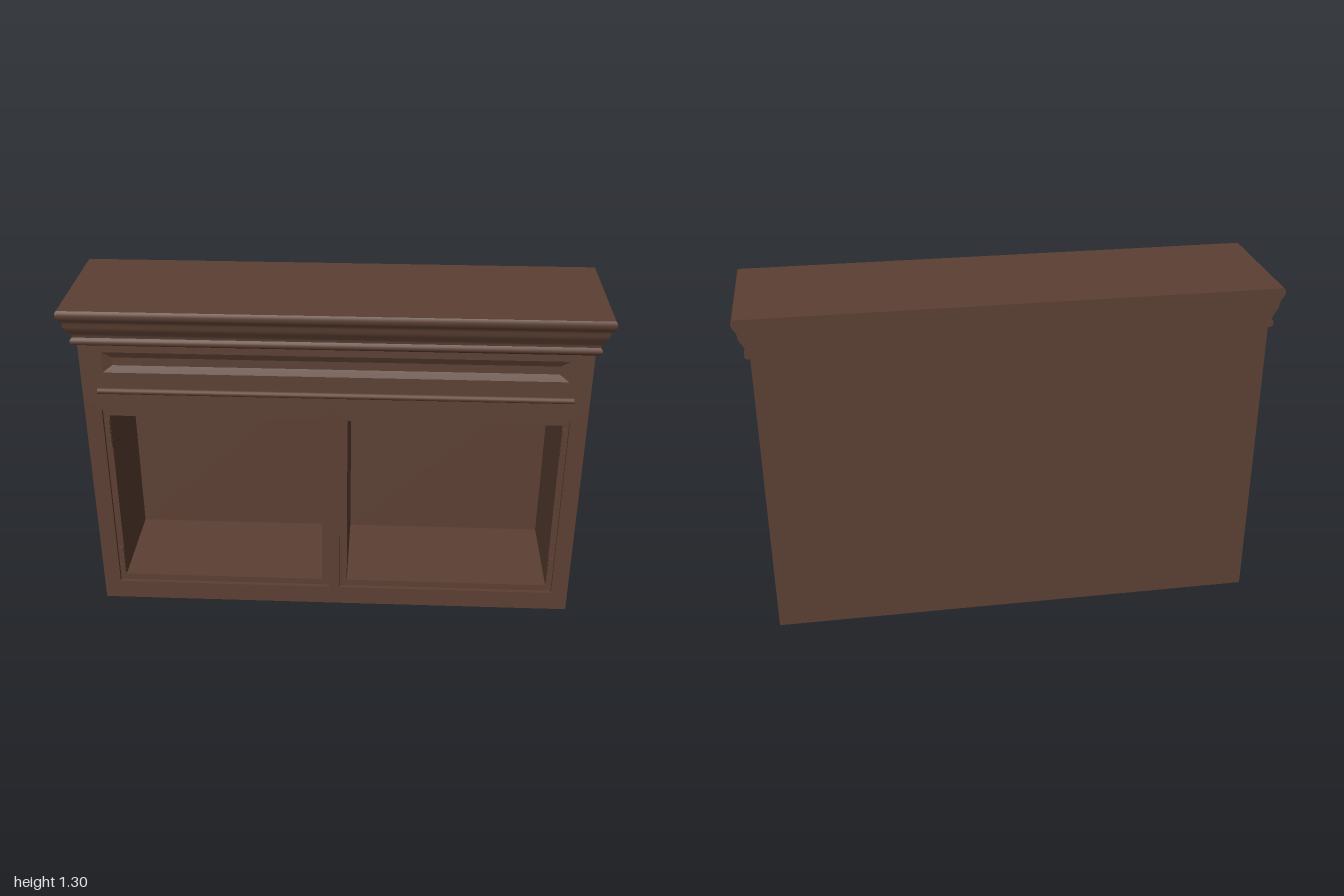
import * as THREE from 'three';
import { toCreasedNormals } from 'three/addons/utils/BufferGeometryUtils.js';

// Lofts rectangles [u0, u1, v0, v1, w] from first to last and caps the last one.
function loft(rings, crease = 0.3) {
  const pos = [];
  const corners = ([u0, u1, v0, v1, w]) => [[u0, v0, w], [u1, v0, w], [u1, v1, w], [u0, v1, w]];
  const quad = (a, b, c, d) => pos.push(...a, ...b, ...c, ...a, ...c, ...d);
  for (let r = 0; r < rings.length - 1; r++) {
    const a = corners(rings[r]), b = corners(rings[r + 1]);
    for (let i = 0; i < 4; i++) {
      const j = (i + 1) % 4;
      quad(a[i], a[j], b[j], b[i]);
    }
  }
  quad(...corners(rings[rings.length - 1]));
  const g = new THREE.BufferGeometry();
  g.setAttribute('position', new THREE.Float32BufferAttribute(pos, 3));
  return toCreasedNormals(g, crease);
}

export function createModel() {
  const group = new THREE.Group();
  const wood = new THREE.MeshStandardMaterial({ color: 0x5c4033 });
  wood.name = 'darkWood';

  const W = 0.945, H = 1.15, F = 0.21, B = -0.265;
  const add = (name, geometry) => {
    const mesh = new THREE.Mesh(geometry, wood);
    mesh.name = name;
    group.add(mesh);
    return mesh;
  };

  // Front face: two stepped door openings that run back into deep compartments
  const split = 0.93;
  for (const s of [-1, 1]) {
    const side = s < 0 ? 'right' : 'left';
    const ring = (a, b, y0, y1, z) => [Math.min(s * a, s * b), Math.max(s * a, s * b), y0, y1, z];
    add(side + 'Compartment', loft([
      ring(0, W, 0, split, F),
      ring(0.022, 0.88, 0.08, 0.878, F),
      ring(0.022, 0.88, 0.08, 0.878, F - 0.015),
      ring(0.05, 0.856, 0.107, 0.846, F - 0.015),
      ring(0.05, 0.856, 0.107, 0.846, -0.21),
    ], 0.1));

    // Hinge plates on the outer jamb
    for (const y of [0.18, 0.77]) {
      add(side + 'Hinge', new THREE.BoxGeometry(0.018, 0.12, 0.012))
        .position.set(s * 0.866, y, F - 0.012);
    }

    // Side wall with a long bevelled panel
    const flip = ([z0, z1, y0, y1, w]) => (s > 0 ? [-z1, -z0, y0, y1, w] : [z0, z1, y0, y1, w]);
    add(side + 'SidePanel', loft([
      [B, F, 0, H, W],
      [-0.125, 0.075, 0.13, 0.845, W],
      [-0.12, 0.07, 0.135, 0.84, W - 0.006],
      [-0.1, 0.05, 0.155, 0.815, W - 0.014],
    ].map(flip), 0.1)).rotation.y = s * Math.PI / 2;
  }

  // Frieze board with a shallow sunk panel
  add('friezePanel', loft([
    [-W, W, split, H, F],
    [-0.86, 0.86, 1.035, 1.118, F],
    [-0.85, 0.85, 1.043, 1.11, F - 0.004],
    [-0.825, 0.825, 1.06, 1.092, F - 0.013],
  ], 0.1));

  // Round bead across the front
  const bead = add('frontBead', new THREE.CylinderGeometry(0.012, 0.012, 1.77, 14));
  bead.rotation.z = Math.PI / 2;
  bead.position.set(0, 0.962, F + 0.006);

  // Plain back and underside
  const back = add('backPanel', new THREE.PlaneGeometry(2 * W, H));
  back.rotation.y = Math.PI;
  back.position.set(0, H / 2, B);
  const base = add('basePanel', new THREE.PlaneGeometry(2 * W, F - B));
  base.rotation.x = Math.PI / 2;
  base.position.set(0, 0, (F + B) / 2);

  // Crown moulding: [projection, height], mitred around front and sides, flush at the back
  const profile = [
    [0, 1.15], [0.012, 1.151], [0.019, 1.157], [0.021, 1.165], [0.019, 1.174], [0.012, 1.181],
    [0.012, 1.187], [0.017, 1.196], [0.023, 1.207], [0.031, 1.219], [0.036, 1.232], [0.037, 1.245],
    [0.04, 1.254], [0.047, 1.263], [0.053, 1.273], [0.055, 1.284], [0.053, 1.294], [0.048, 1.3],
  ];
  add('crownMoulding', loft(
    profile.map(([d, y]) => [-W - d, W + d, -F - d, -B, y]), 0.75,
  )).rotation.x = -Math.PI / 2;

  return group;
}
